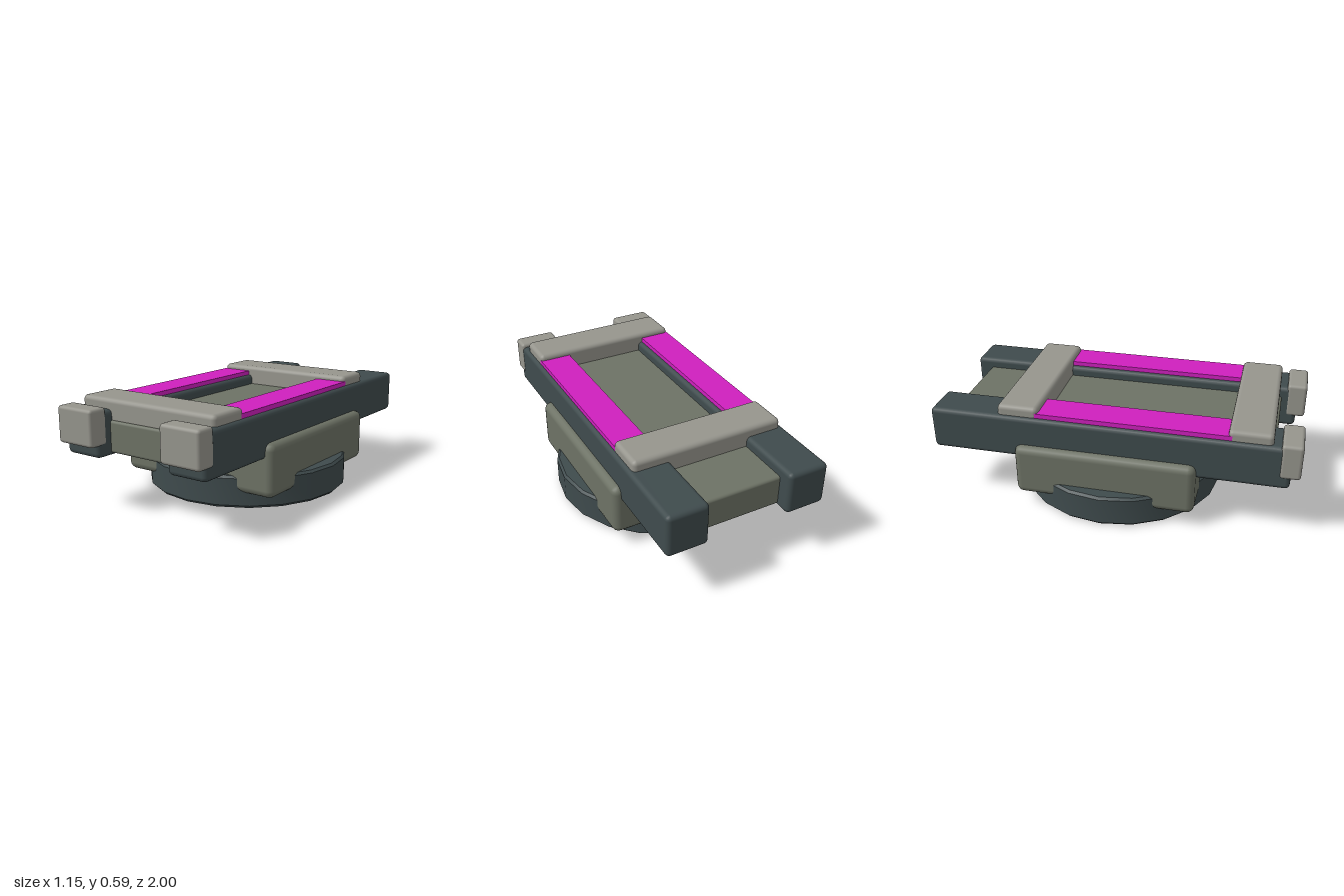
import * as THREE from 'three';
import { toCreasedNormals } from 'three/addons/utils/BufferGeometryUtils.js';
import { RoundedBoxGeometry } from 'three/addons/geometries/RoundedBoxGeometry.js';

const material = (name, color) => {
  const m = new THREE.MeshStandardMaterial({ color });
  m.name = name;
  return m;
};

export function createModel() {
  const model = new THREE.Group();
  model.name = 'railMount';

  const dark = material('dark slate', 0x3f4b4d);
  const olive = material('olive grey', 0x6d7265);
  const grey = material('light grey', 0x96958d);
  const magenta = material('magenta', 0xcf20be);

  // Bevelled box given by its limits along each axis
  function block(name, mat, [x0, x1], [y0, y1], [z0, z1], radius) {
    const size = [x1 - x0, y1 - y0, z1 - z0];
    const geometry = radius
      ? new RoundedBoxGeometry(...size, 2, radius)
      : new THREE.BoxGeometry(...size);
    const mesh = new THREE.Mesh(geometry, mat);
    mesh.name = name;
    mesh.position.set((x0 + x1) / 2, (y0 + y1) / 2, (z0 + z1) / 2);
    model.add(mesh);
  }

  // Round foot with bevelled rims
  const profile = [[0, 0], [0.56, 0], [0.575, 0.015], [0.575, 0.162], [0.562, 0.175], [0, 0.175]]
    .map(([r, y]) => new THREE.Vector2(r, y));
  const foot = new THREE.Mesh(toCreasedNormals(new THREE.LatheGeometry(profile, 20), 0.5), dark);
  foot.name = 'turntableFoot';
  foot.position.z = -0.025;
  model.add(foot);

  // Saddle over the foot and the bed between the rails
  block('saddle', olive, [-0.497, 0.497], [0.085, 0.375], [-0.52, 0.47], 0.04);
  block('bed', olive, [-0.26, 0.26], [0.31, 0.48], [-0.92, 0.862], 0.015);

  // Rails with front caps and coloured strips
  for (const [label, s] of [['left', 1], ['right', -1]]) {
    const span = (a, b) => (s > 0 ? [a, b] : [-b, -a]);
    block(label + 'Rail', dark, span(0.225, 0.455), [0.295, 0.535], [-1, 0.95], 0.025);
    block(label + 'RailCap', grey, span(0.222, 0.46), [0.36, 0.555], [0.89, 1], 0.018);
    block(label + 'Strip', magenta, span(0.25, 0.432), [0.52, 0.56], [-0.41, 0.65]);
  }

  // Cross bars tying the rails together
  block('frontCrossBar', grey, [-0.433, 0.433], [0.46, 0.59], [0.62, 0.85], 0.025);
  block('backCrossBar', grey, [-0.433, 0.433], [0.46, 0.59], [-0.62, -0.393], 0.025);

  return model;
}
